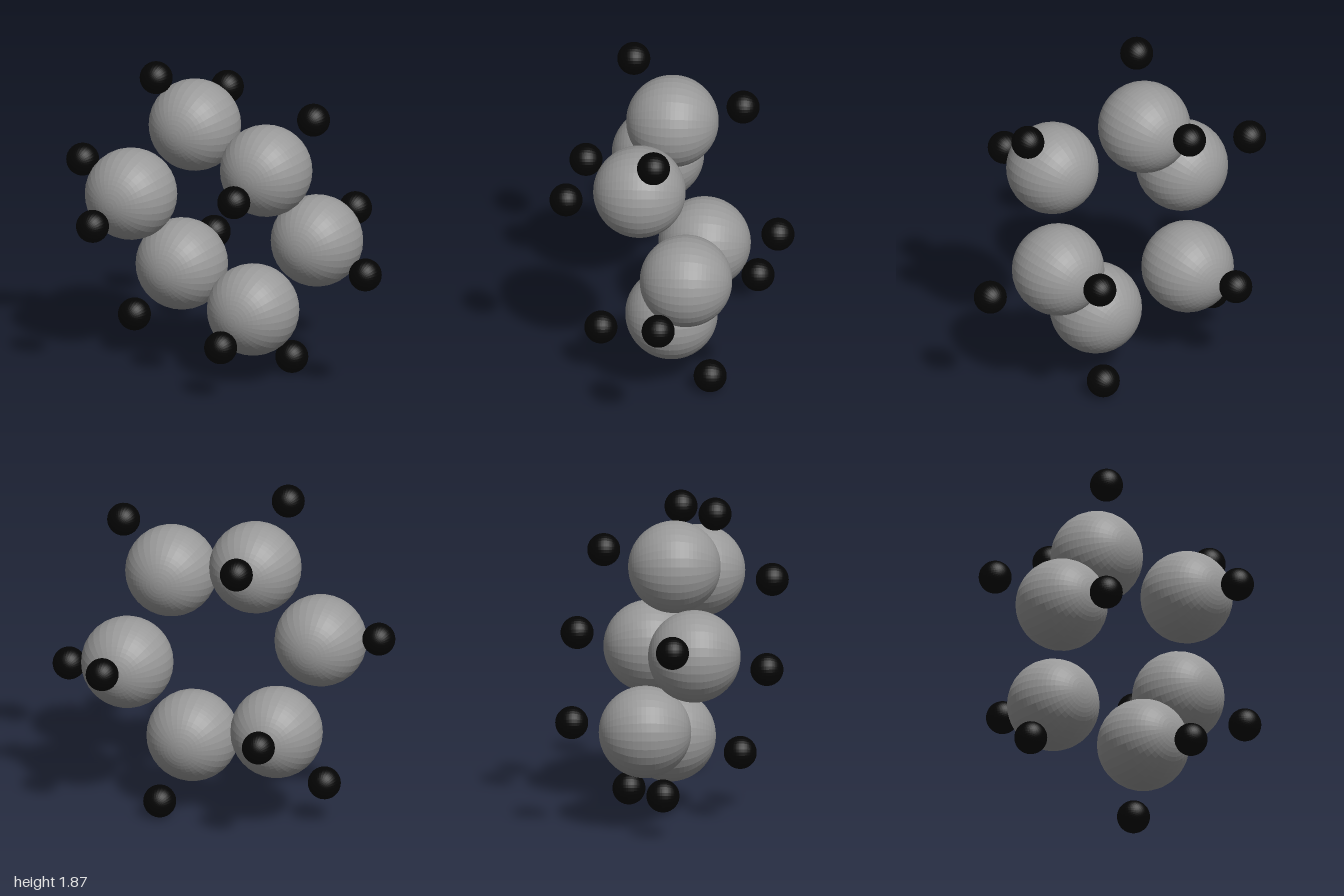
import * as THREE from 'three';

// Ring molecule: every ball has a twin mirrored through the centre point.
const CENTRE_Y = 0.937;

// One half of the balls, as [x, y, z]
const LARGE = [
  [-0.18, 1.456, 0.008],
  [0.354, 1.321, 0.161],
  [0.53, 0.854, -0.109],
];
const SMALL = [
  [-0.305, 1.782, 0.231],
  [-0.187, 1.558, -0.386],
  [0.604, 1.633, 0.068],
  [0.37, 1.262, 0.57],
  [0.908, 0.755, 0.024],
  [0.556, 0.926, -0.513],
];

// Faceted ball with its poles along z
function ballGeometry(radius) {
  return new THREE.SphereGeometry(radius, 32, 32).rotateX(Math.PI / 2);
}

// Adds each ball and its twin through the centre
function addBalls(parent, name, centres, radius, color) {
  const geometry = ballGeometry(radius);
  const material = new THREE.MeshStandardMaterial({ color, flatShading: true });
  const set = new THREE.Group();
  set.name = name + 's';
  centres.forEach(([x, y, z], i) => {
    for (const side of [1, -1]) {
      const ball = new THREE.Mesh(geometry, material);
      ball.name = name + (2 * i + (side > 0 ? 1 : 2));
      ball.position.set(side * x, CENTRE_Y + side * (y - CENTRE_Y), side * z);
      set.add(ball);
    }
  });
  parent.add(set);
}

export function createModel() {
  const model = new THREE.Group();
  model.name = 'ringMolecule';

  // Six large atoms in a puckered ring, twelve small atoms around them
  addBalls(model, 'carbonAtom', LARGE, 0.258, 0x999999);
  addBalls(model, 'hydrogenAtom', SMALL, 0.092, 0x040404);

  return model;
}
